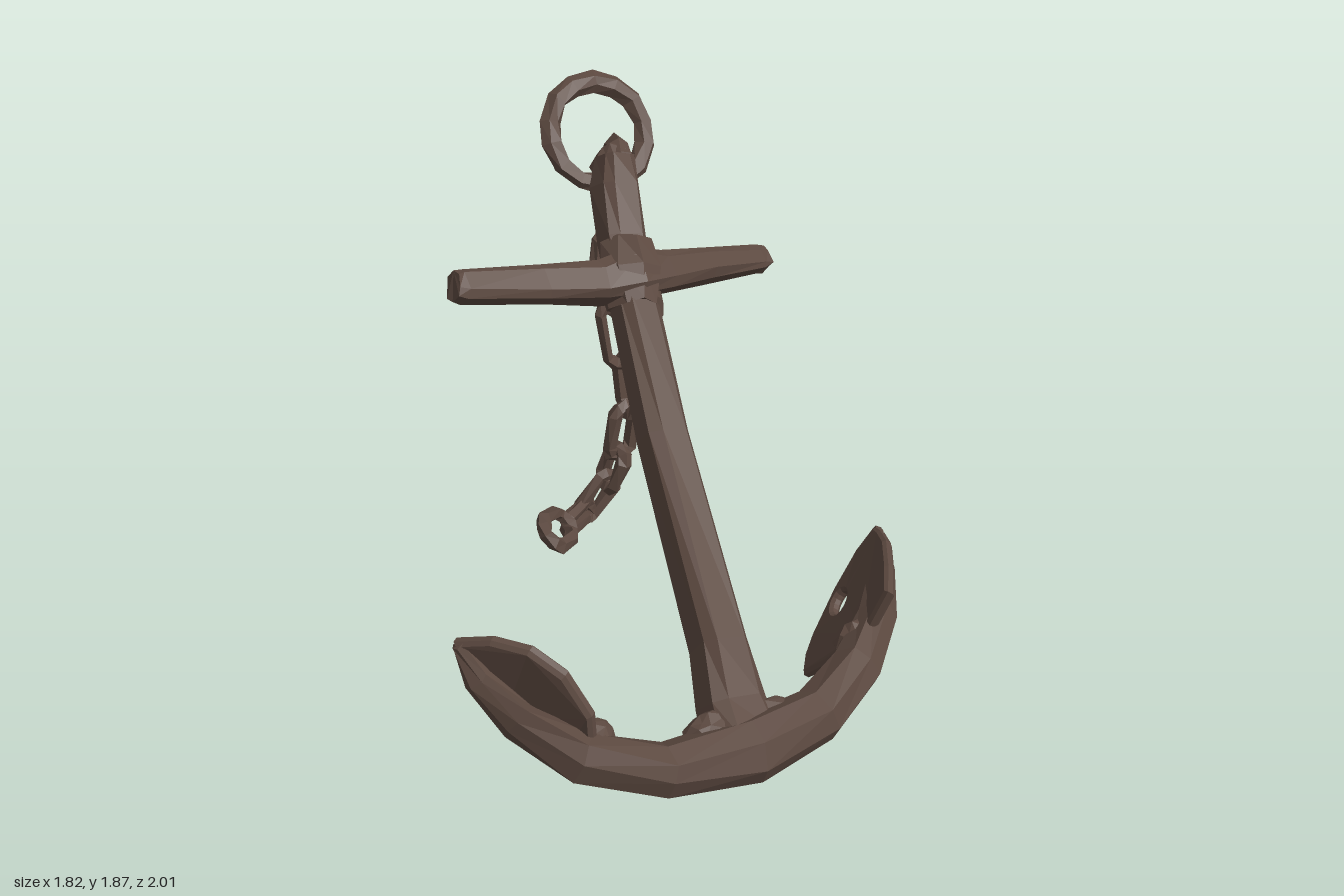
import * as THREE from 'three';

const V = (x, y, z) => new THREE.Vector3(x, y, z);
const iron = new THREE.MeshStandardMaterial({ color: 0x5c4940, flatShading: true });
iron.name = 'rustyIron';

// direction square to the plane that holds the shank and the arms
const planeNormal = V(0.148, 0.708, 0.672).normalize();

function part(name, geometry) {
  const mesh = new THREE.Mesh(geometry, iron);
  mesh.name = name;
  return mesh;
}

// shift vertices a little so the metal looks corroded; equal positions move alike
function roughen(geometry, amount) {
  const p = geometry.attributes.position;
  const noise = (x, y, z, k) => {
    const s = Math.sin(Math.round(x * 500) * 12.99 + Math.round(y * 500) * 78.23 + Math.round(z * 500) * 37.72 + k) * 43758.55;
    return (s - Math.floor(s) - 0.5) * 2 * amount;
  };
  for (let i = 0; i < p.count; i++) {
    const x = p.getX(i), y = p.getY(i), z = p.getZ(i);
    p.setXYZ(i, x + noise(x, y, z, 1), y + noise(x, y, z, 2), z + noise(x, y, z, 3));
  }
  geometry.computeVertexNormals();
  return geometry;
}

const roundAngles = Array.from({ length: 8 }, (_, i) => (i / 8) * Math.PI * 2);
const squareAngles = [0, 1, 2, 3].flatMap(k => [-0.25, 0.25].map(d => Math.PI / 4 + k * Math.PI / 2 + d));

// closed bar through stations [x, y, z, radius along up, radius across]
function bar(stations, up, angles, rough) {
  const pts = stations.map(s => V(s[0], s[1], s[2]));
  const pos = [], idx = [], n = angles.length, m = pts.length;
  pts.forEach((p, i) => {
    const t = pts[Math.min(i + 1, m - 1)].clone().sub(pts[Math.max(i - 1, 0)]).normalize();
    const u = up.clone().addScaledVector(t, -up.dot(t)).normalize();
    const v = t.clone().cross(u);
    angles.forEach(a => {
      const q = p.clone().addScaledVector(u, Math.cos(a) * stations[i][3]).addScaledVector(v, Math.sin(a) * stations[i][4]);
      pos.push(q.x, q.y, q.z);
    });
  });
  for (let i = 0; i < m - 1; i++) {
    for (let j = 0; j < n; j++) {
      const a = i * n + j, b = i * n + (j + 1) % n;
      idx.push(a, b, a + n, b, b + n, a + n);
    }
  }
  for (let j = 1; j < n - 1; j++) {
    const e = (m - 1) * n;
    idx.push(0, j + 1, j, e, e + j, e + j + 1);
  }
  const g = new THREE.BufferGeometry();
  g.setAttribute('position', new THREE.Float32BufferAttribute(pos, 3));
  g.setIndex(idx);
  return roughen(g, rough);
}

// shield plate lying along an arm tip; outline is [distance from tip, offset across],
// curl bends the upper lobe toward the inside of the arm
function fluke(name, tip, inward, curl, outline, hole) {
  const e1 = inward.clone().normalize();
  const e2 = planeNormal.clone().addScaledVector(e1, -planeNormal.dot(e1)).normalize();
  const shape = new THREE.Shape(outline.map(([a, b]) => new THREE.Vector2(a, b)));
  if (hole) {
    const path = new THREE.Path();
    path.absellipse(hole[0], hole[1], hole[2], hole[3], 0, Math.PI * 2, true, 0.4);
    shape.holes.push(path);
  }
  const g = new THREE.ExtrudeGeometry(shape, {
    depth: 0.02, bevelEnabled: true, bevelThickness: 0.012, bevelSize: 0.012, bevelOffset: -0.012, bevelSegments: 1, curveSegments: 8
  });
  g.translate(0, 0, -0.01);
  const p = g.attributes.position;
  for (let i = 0; i < p.count; i++) p.setZ(i, p.getZ(i) + curl * Math.max(p.getY(i), 0));
  g.applyMatrix4(new THREE.Matrix4().makeBasis(e1, e2, e1.clone().cross(e2)).setPosition(tip));
  g.computeVertexNormals();
  return part(name, g);
}

// oval chain link, long side on y
function linkGeometry(length, width, tube) {
  const r = width / 2 - tube;
  const g = new THREE.TorusGeometry(r, tube, 5, 10).rotateZ(Math.PI / 10);
  const p = g.attributes.position;
  for (let i = 0; i < p.count; i++) p.setY(i, p.getY(i) + Math.sign(p.getY(i)) * (length - width) / 2);
  return roughen(g, 0.007);
}

function lump(x, y, z, sx, sy, sz) {
  const g = roughen(new THREE.IcosahedronGeometry(1, 1), 0.16);
  g.scale(sx, sy, sz).translate(x, y, z);
  return part('rustLump', g);
}

export function createModel() {
  const anchor = new THREE.Group();
  anchor.name = 'anchor';

  // straight shank, flared at the crown, with a blunt head
  const shank = [
    [-0.05, 0.23, 0.85, 0.125, 0.15], [-0.03, 0.32, 0.73, 0.11, 0.125], [0.01, 0.45, 0.58, 0.1, 0.1],
    [0.13, 0.935, 0.0, 0.098, 0.092], [0.235, 1.27, -0.38, 0.088, 0.088], [0.285, 1.42, -0.54, 0.085, 0.088],
    [0.335, 1.56, -0.67, 0.09, 0.09], [0.36, 1.645, -0.73, 0.07, 0.068]
  ];
  anchor.add(part('shank', bar(shank, planeNormal, squareAngles, 0.007)));

  // curved arms
  const arms = [
    [-0.89, 0.69, 0.41, 0.025, 0.018], [-0.85, 0.58, 0.49, 0.055, 0.045], [-0.77, 0.46, 0.6, 0.085, 0.065],
    [-0.62, 0.345, 0.74, 0.105, 0.085], [-0.37, 0.26, 0.855, 0.11, 0.1], [-0.05, 0.23, 0.88, 0.125, 0.115],
    [0.24, 0.24, 0.855, 0.115, 0.105], [0.47, 0.295, 0.75, 0.1, 0.09], [0.65, 0.35, 0.6, 0.085, 0.07],
    [0.79, 0.4, 0.43, 0.06, 0.045], [0.88, 0.45, 0.28, 0.02, 0.015]
  ];
  anchor.add(part('arms', bar(arms, planeNormal, roundAngles, 0.01)));

  // flukes
  anchor.add(fluke('leftFluke', V(0.88, 0.45, 0.28), V(-0.33, -0.15, 0.38), 0.25, [
    [0, 0], [0.05, -0.1], [0.165, -0.215], [0.32, -0.32], [0.4, -0.35], [0.485, -0.345], [0.51, -0.2],
    [0.53, 0.05], [0.475, 0.255], [0.33, 0.215], [0.166, 0.145], [0.06, 0.06]
  ], [0.255, -0.165, 0.052, 0.045]));
  anchor.add(fluke('rightFluke', V(-0.89, 0.7, 0.41), V(0.29, -0.34, 0.33), -0.3, [
    [-0.01, 0], [0.1, -0.07], [0.29, -0.15], [0.45, -0.17], [0.54, -0.13], [0.55, 0.06],
    [0.48, 0.14], [0.32, 0.2], [0.18, 0.185], [0.07, 0.11]
  ]));

  // stock, thicker where it crosses the shank
  const stock = [
    [-0.435, 1.475, -0.445, 0.05, 0.05], [-0.4, 1.465, -0.445, 0.058, 0.058], [-0.1, 1.395, -0.43, 0.066, 0.068],
    [0.12, 1.35, -0.41, 0.08, 0.075], [0.25, 1.345, -0.41, 0.1, 0.1], [0.38, 1.31, -0.43, 0.078, 0.075],
    [0.6, 1.25, -0.485, 0.066, 0.064], [0.86, 1.175, -0.545, 0.056, 0.056], [0.895, 1.165, -0.55, 0.05, 0.05]
  ];
  anchor.add(part('stock', bar(stock, V(0.185, 0.656, -0.732), squareAngles, 0.007)));
  const hub = [
    [0.22, 1.25, -0.35, 0.09, 0.09], [0.25, 1.34, -0.43, 0.12, 0.11], [0.28, 1.41, -0.51, 0.09, 0.085]
  ];
  anchor.add(part('stockHub', bar(hub, planeNormal, roundAngles, 0.012)));

  // low corroded crusts at the crown, fluke roots, under the hub and on the head
  [
    [-0.15, 0.31, 0.8, 0.1, 0.06, 0.06], [0.07, 0.28, 0.81, 0.09, 0.06, 0.06],
    [-0.57, 0.37, 0.72, 0.09, 0.07, 0.07], [0.53, 0.31, 0.65, 0.07, 0.08, 0.07],
    [0.22, 1.16, -0.31, 0.075, 0.08, 0.08], [0.28, 1.24, -0.38, 0.07, 0.1, 0.08],
    [0.38, 1.585, -0.76, 0.08, 0.085, 0.075]
  ].forEach(l => anchor.add(lump(...l)));

  // large ring at the head
  const ring = part('headRing', roughen(new THREE.TorusGeometry(0.188, 0.037, 6, 14), 0.006));
  ring.position.set(0.37, 1.68, -0.86);
  ring.rotation.x = -0.6;
  anchor.add(ring);

  // shackle joining the head to the chain
  const shackle = part('shackle', linkGeometry(0.28, 0.24, 0.042));
  shackle.position.set(0.41, 1.55, -0.78);
  shackle.rotation.y = Math.PI / 2 - 0.3;
  anchor.add(shackle);

  // hanging chain: centre, length, width; links turn a quarter from one to the next
  const chain = new THREE.Group();
  chain.name = 'chain';
  const links = [
    [0.45, 1.35, -0.84, 0.28, 0.16], [0.4, 1.18, -0.84, 0.25, 0.16], [0.41, 1.03, -0.82, 0.23, 0.16],
    [0.42, 0.86, -0.81, 0.32, 0.17], [0.45, 0.63, -0.78, 0.3, 0.17], [0.43, 0.43, -0.79, 0.27, 0.16],
    [0.4, 0.26, -0.81, 0.24, 0.16], [0.35, 0.12, -0.85, 0.26, 0.15], [0.25, 0.07, -0.82, 0.23, 0.13],
    [0.1, 0.13, -0.71, 0.25, 0.18]
  ];
  links.forEach(([x, y, z, length, width], i) => {
    const a = links[Math.max(i - 1, 0)], b = links[Math.min(i + 1, links.length - 1)];
    const along = V(a[0] - b[0], a[1] - b[1], a[2] - b[2]).normalize();
    // the last link lies nearly flat, the others hang
    const wide = i === links.length - 1 ? V(-0.5, -0.15, 0.86) : i === links.length - 2 ? V(0, 1, 0) : i % 2 ? V(1, 0, 0) : V(0, 0, 1);
    wide.addScaledVector(along, -wide.dot(along)).normalize();
    const link = part('chainLink', linkGeometry(length, width, 0.028));
    link.applyMatrix4(new THREE.Matrix4().makeBasis(wide, along, wide.clone().cross(along)).setPosition(x, y, z));
    chain.add(link);
  });
  anchor.add(chain);

  return anchor;
}
